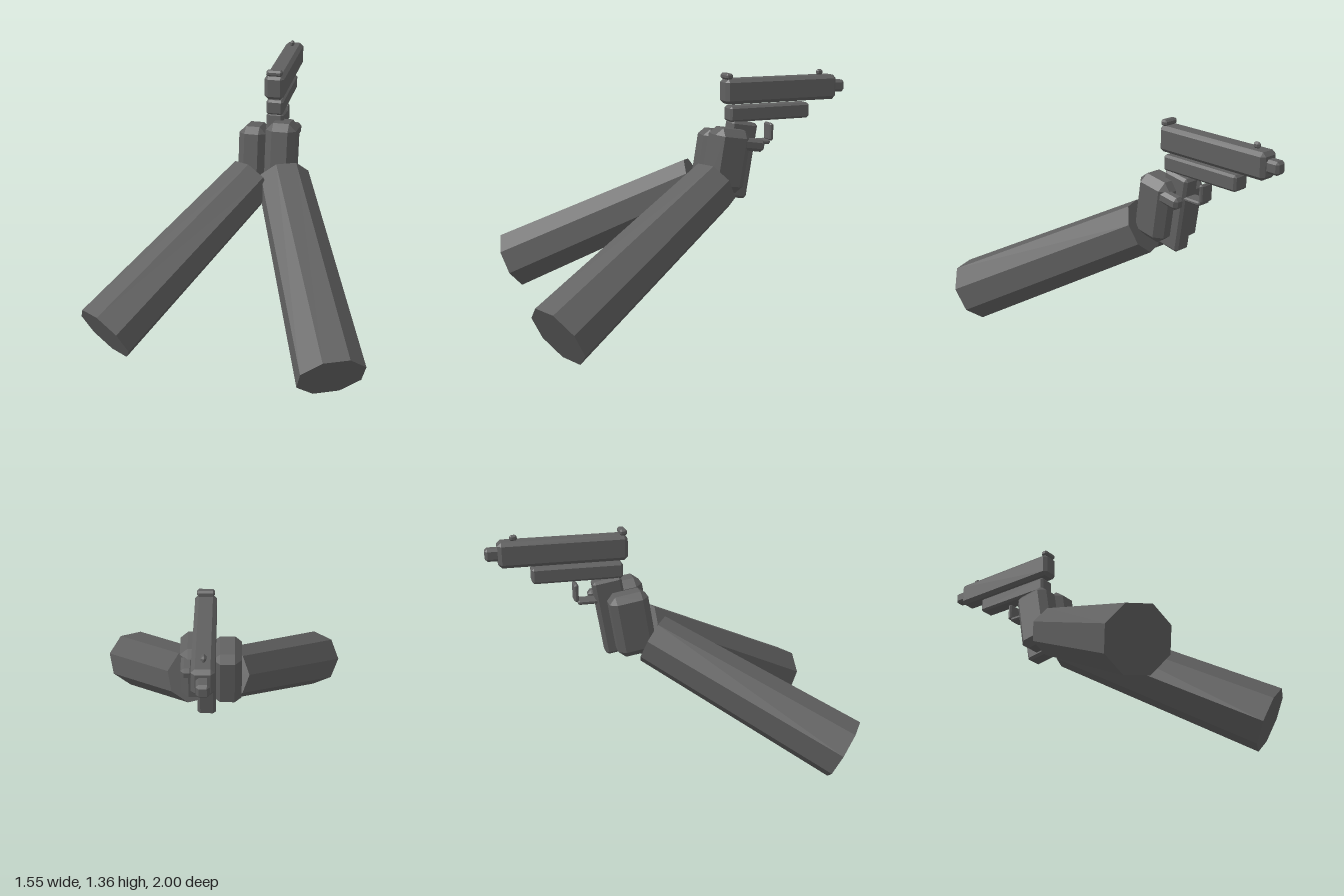
import * as THREE from 'three';
import { ConvexGeometry } from 'three/addons/geometries/ConvexGeometry.js';

const darkGrey = new THREE.MeshStandardMaterial({ color: 0x606060 });
darkGrey.name = 'darkGrey';

// Box with every edge and corner cut by c
function chamferBox(name, size, pos, c, tilt = 0) {
  const [x, y, z] = size.map((s) => s / 2);
  const pts = [];
  for (const i of [-1, 1]) for (const j of [-1, 1]) for (const k of [-1, 1]) {
    pts.push(
      new THREE.Vector3(i * x, j * (y - c), k * (z - c)),
      new THREE.Vector3(i * (x - c), j * y, k * (z - c)),
      new THREE.Vector3(i * (x - c), j * (y - c), k * z)
    );
  }
  const mesh = new THREE.Mesh(new ConvexGeometry(pts), darkGrey);
  mesh.name = name;
  mesh.position.set(...pos);
  mesh.rotation.x = tilt;
  return mesh;
}

// Faceted eight-sided tapered arm running from elbow to wrist
function arm(name, elbow, wrist, rElbow, rWrist, twist) {
  const a = new THREE.Vector3(...elbow), b = new THREE.Vector3(...wrist);
  const d = b.clone().sub(a);
  const geo = new THREE.CylinderGeometry(rWrist, rElbow, d.length(), 8, 1, false, twist).toNonIndexed();
  geo.computeVertexNormals();
  d.normalize();
  const u = new THREE.Vector3().crossVectors(d, new THREE.Vector3(0, 1, 0)).normalize();
  const w = new THREE.Vector3().crossVectors(u, d);
  const mesh = new THREE.Mesh(geo, darkGrey);
  mesh.name = name;
  mesh.quaternion.setFromRotationMatrix(new THREE.Matrix4().makeBasis(u, d, w));
  mesh.position.copy(a).add(b).multiplyScalar(0.5);
  return mesh;
}

export function createModel() {
  const model = new THREE.Group();
  model.name = 'armsHoldingPistol';
  const tilt = -0.16;
  const gx = 0.075; // centre line of the pistol

  // Arms and hands
  model.add(
    arm('leftArm', [0.6, 0.157, 0.9], [0.155, 0.747, -0.135], 0.185, 0.153, Math.PI / 8),
    arm('rightArm', [-0.62, 0.208, 0.845], [-0.03, 0.738, -0.1], 0.178, 0.147, Math.PI / 12),
    chamferBox('leftHand', [0.176, 0.36, 0.22], [0.128, 0.882, -0.222], 0.042, tilt),
    chamferBox('rightHand', [0.156, 0.36, 0.22], [-0.037, 0.85, -0.222], 0.038, tilt),
    chamferBox('triggerFinger', [0.068, 0.07, 0.14], [0.175, 0.967, -0.362], 0.018, tilt)
  );

  // Pistol
  const pistol = new THREE.Group();
  pistol.name = 'pistol';
  pistol.add(
    chamferBox('grip', [0.1, 0.44, 0.165], [gx, 0.87, -0.31], 0.015, tilt),
    chamferBox('frame', [0.098, 0.088, 0.505], [gx, 1.135, -0.504], 0.012),
    chamferBox('slide', [0.112, 0.142, 0.71], [gx, 1.263, -0.577], 0.02),
    chamferBox('barrel', [0.066, 0.07, 0.1], [0.073, 1.265, -0.95], 0.014),
    chamferBox('rearSight', [0.092, 0.034, 0.042], [gx, 1.348, -0.246], 0.01),
    chamferBox('frontSight', [0.025, 0.034, 0.04], [0.072, 1.348, -0.843], 0.01),
    chamferBox('guardBottom', [0.085, 0.025, 0.15], [gx, 0.963, -0.435], 0.008),
    chamferBox('guardFront', [0.085, 0.1, 0.025], [gx, 1.02, -0.517], 0.008)
  );
  model.add(pistol);
  return model;
}
